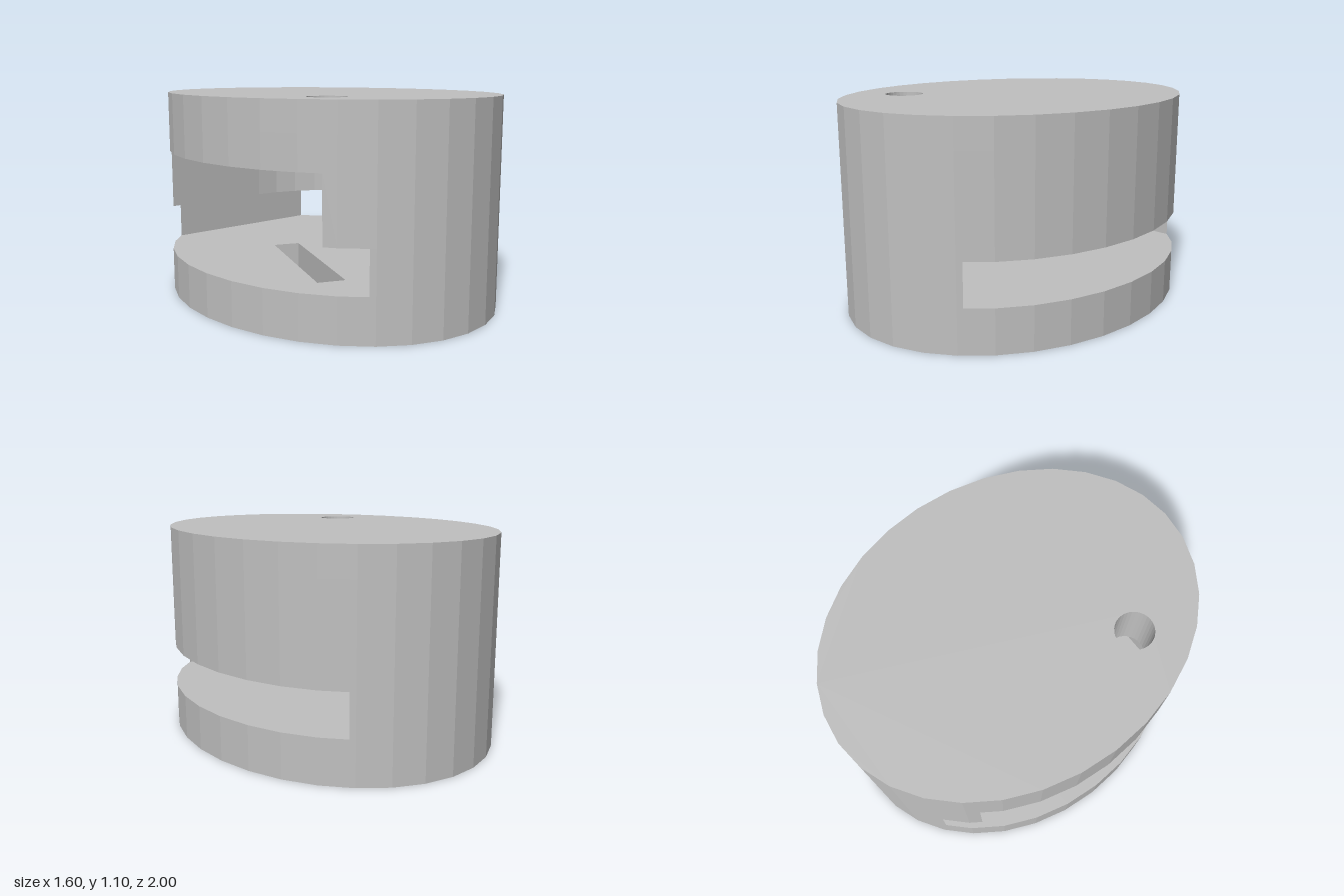
import * as THREE from 'three';

const SEGMENTS = 32;
const V = (x, z) => new THREE.Vector2(x, -z); // plan point, shape y is -z

// Point on the faceted oval; u counts facets from the front centre towards +x
function rimPoint(u) {
  const corner = (k) => {
    const a = (k / SEGMENTS) * Math.PI * 2;
    return V(0.8 * Math.sin(a), Math.cos(a));
  };
  const k = Math.floor(u);
  return corner(k).lerp(corner(k + 1), u - k);
}

function rim(from, to) {
  const points = [rimPoint(from)];
  for (let k = Math.floor(from) + 1; k < to; k++) points.push(rimPoint(k));
  points.push(rimPoint(to));
  return points;
}

function circle(x, z, r, from = 0, to = SEGMENTS) {
  const points = [];
  for (let k = from; k <= to; k++) {
    const a = (k / SEGMENTS) * Math.PI * 2;
    points.push(V(x + r * Math.sin(a), z + r * Math.cos(a)));
  }
  return points;
}

export function createModel() {
  const group = new THREE.Group();
  const grey = new THREE.MeshStandardMaterial({ color: 0xc0c0c0 });
  grey.name = 'plain grey';

  // One horizontal layer of the block between two heights
  function layer(name, outline, y0, y1, holes = []) {
    const shape = new THREE.Shape(outline);
    for (const h of holes) shape.holes.push(new THREE.Path(h));
    const geometry = new THREE.ExtrudeGeometry(shape, { depth: y1 - y0, bevelEnabled: false });
    geometry.rotateX(-Math.PI / 2);
    geometry.translate(0, y0, 0);
    const mesh = new THREE.Mesh(geometry, grey);
    mesh.name = name;
    group.add(mesh);
  }

  const oval = rim(0, SEGMENTS - 1);
  const pinHole = circle(-0.4, 0.45, 0.1, 0, SEGMENTS - 1);
  const recess = circle(0, 0, 0.2, 0, SEGMENTS - 1);

  // Slanted slit through the base
  const slit = [[-1, -1], [1, -1], [1, 1], [-1, 1]].map(([i, j]) =>
    new THREE.Vector2(0.071 * i, 0.397 * j)
      .rotateAround(new THREE.Vector2(), -Math.PI / 8)
      .add(V(-0.278, 0.15)));
  layer('base', oval, 0, 0.23, [slit]);

  // End blocks either side of the slot that runs right through
  layer('frontEndBlock', rim(-3.173, 3.173), 0.23, 0.45);
  layer('backEndBlock', rim(16 - 3.173, 16 + 3.173), 0.23, 0.45);

  // Wall around the round-ended cavity, open to -x
  const cavity = circle(0, 0, 0.65, 0, SEGMENTS / 2).reverse();
  layer('cavityWall', [...rim(-4.376, 16 + 4.376), ...cavity], 0.45, 0.78);

  // Roof with the blind recess below and the pin hole through it
  layer('roofUnderside', oval, 0.78, 0.95, [pinHole, recess]);
  layer('roof', oval, 0.95, 1.1, [pinHole]);

  return group;
}
